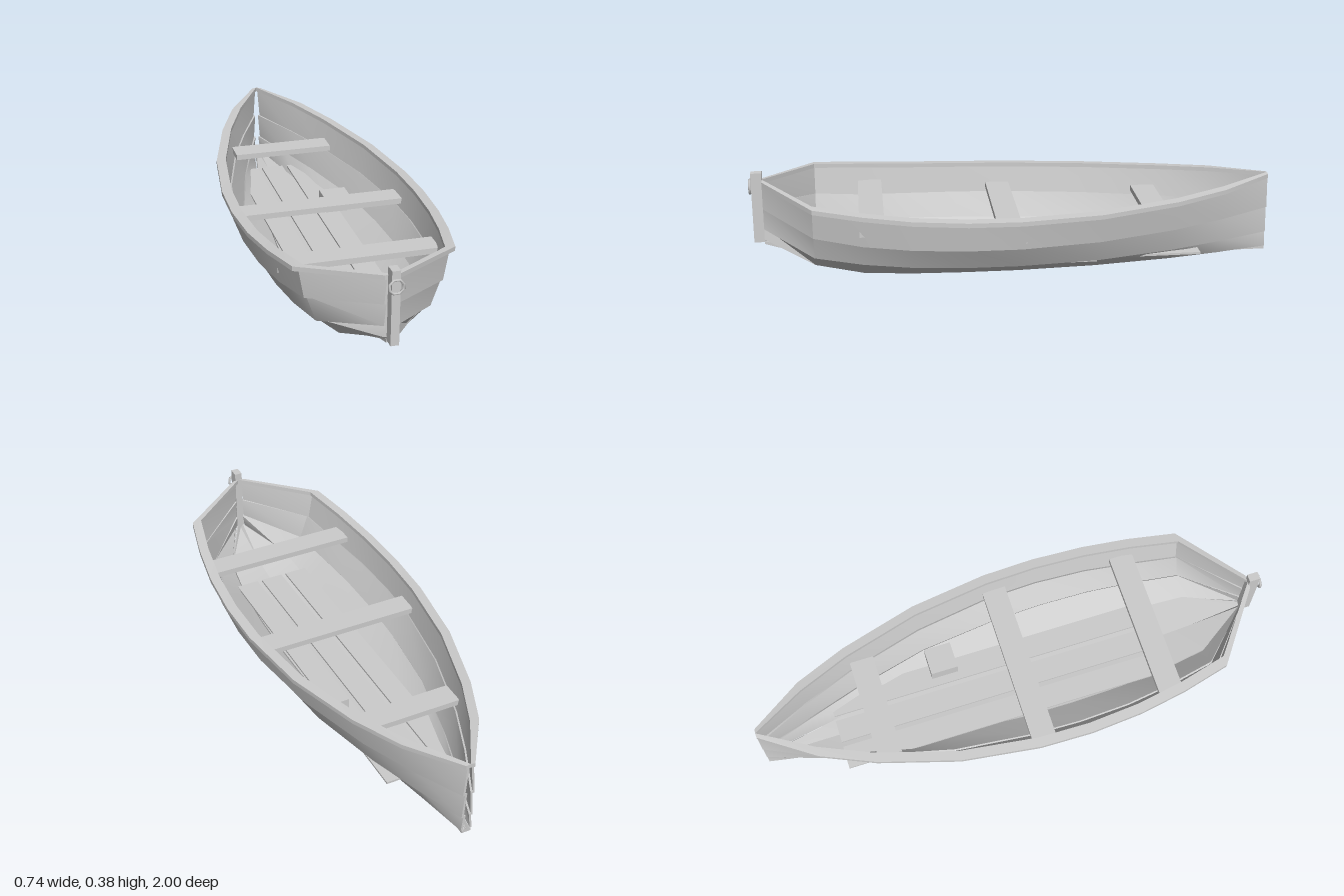
import * as THREE from 'three';
import { toCreasedNormals } from 'three/addons/utils/BufferGeometryUtils.js';

// Hull lines at each station along z; each line runs from stern to bow
const Z = [-1, -0.8, -0.6, -0.3, 0, 0.2, 0.4, 0.58, 0.76, 0.95];
const LINES = [
  { x: [0, 0, 0, 0, 0, 0, 0, 0, 0, 0],
    y: [0.012, 0.012, 0.013, 0.014, 0.015, 0.016, 0.018, 0.026, 0.056, 0.115] },
  { x: [0.006, 0.045, 0.085, 0.13, 0.152, 0.155, 0.15, 0.14, 0.12, 0.01],
    y: [0.02, 0.02, 0.021, 0.023, 0.025, 0.027, 0.029, 0.036, 0.068, 0.13] },
  { x: [0.006, 0.075, 0.14, 0.215, 0.248, 0.255, 0.248, 0.226, 0.193, 0.01],
    y: [0.08, 0.077, 0.076, 0.077, 0.08, 0.084, 0.091, 0.102, 0.122, 0.172] },
  { x: [0.006, 0.1, 0.18, 0.265, 0.31, 0.316, 0.303, 0.273, 0.233, 0.01],
    y: [0.182, 0.176, 0.171, 0.167, 0.168, 0.171, 0.177, 0.188, 0.213, 0.252] },
  { x: [0.004, 0.125, 0.21, 0.297, 0.338, 0.343, 0.33, 0.302, 0.26, 0.01],
    y: [0.308, 0.296, 0.285, 0.277, 0.277, 0.281, 0.29, 0.305, 0.324, 0.35] },
];
const THICK = 0.008;

// Closed solid through rings of [x, y] corners, counter-clockwise seen from the bow
function loft(rings) {
  const n = rings[0].length, pos = [], idx = [];
  rings.forEach((ring, i) => ring.forEach(([x, y]) => pos.push(x, y, Z[i])));
  for (let i = 0; i < rings.length - 1; i++) {
    for (let j = 0; j < n; j++) {
      const a = i * n + j, b = i * n + (j + 1) % n;
      idx.push(a, b, b + n, a, b + n, a + n);
    }
  }
  const end = (rings.length - 1) * n;
  for (let j = 1; j < n - 1; j++) {
    idx.push(0, j + 1, j, end, end + j, end + j + 1);
  }
  const geo = new THREE.BufferGeometry();
  geo.setAttribute('position', new THREE.Float32BufferAttribute(pos, 3));
  geo.setIndex(idx);
  return toCreasedNormals(geo, 0.6);
}

const mirrorRing = ring => ring.map(([x, y]) => [-x, y]).reverse();

// Plank between two hull lines, its lower edge lapping over the plank below
function strakeRings(low, high, lap) {
  return Z.map((_, i) => {
    let lx = low.x[i], ly = low.y[i];
    const hx = high.x[i], hy = high.y[i];
    const len = Math.hypot(hx - lx, hy - ly);
    const dx = (hx - lx) / len, dy = (hy - ly) / len;
    if (lap) { lx -= dx * 0.006; ly -= dy * 0.006; }
    const at = (x, y, d) => [Math.max(0, x + dy * d), y - dx * d];
    return [at(lx, ly, lap), at(lx, ly, lap + THICK), at(hx, hy, THICK), at(hx, hy, 0)];
  });
}

export function createModel() {
  const boat = new THREE.Group();
  boat.name = 'rowingBoat';
  const wood = new THREE.MeshStandardMaterial({ color: 0xcccccc });
  wood.name = 'paleGrey';

  const add = (name, geo, x = 0, y = 0, z = 0) => {
    const mesh = new THREE.Mesh(geo, wood);
    mesh.name = name;
    mesh.position.set(x, y, z);
    boat.add(mesh);
    return mesh;
  };
  const addPair = (name, rings) => {
    add('left' + name, loft(rings));
    add('right' + name, loft(rings.map(mirrorRing)));
  };

  // Overlapping hull planks
  ['BottomPlank', 'LowerStrake', 'MiddleStrake', 'UpperStrake'].forEach((name, i) =>
    addPair(name, strakeRings(LINES[i], LINES[i + 1], i ? THICK : 0)));

  // Rim along the top of the hull, sloping slightly outward
  const sheer = LINES[4];
  addPair('Gunwale', Z.map((_, i) => {
    const x = sheer.x[i], y = sheer.y[i];
    const inner = Math.max(0, x - 0.01);
    const outer = x + (i === 0 ? 0.013 : i === Z.length - 1 ? 0.016 : 0.027);
    return [[inner, y - 0.01], [outer, y - 0.014], [outer, y + 0.003], [inner, y + 0.006]];
  }));

  // Keel strip under the centre line
  add('keel', loft(Z.map((_, i) => {
    const y = LINES[0].y[i];
    return [[-0.018, y - 0.012], [0.018, y - 0.012], [0.018, y], [-0.018, y]];
  })));

  // Stem post and mooring ring at the bow
  add('stemPost', new THREE.BoxGeometry(0.03, 0.275, 0.042), 0, 0.2475, 0.969);
  add('mooringRing', new THREE.TorusGeometry(0.026, 0.005, 6, 8), 0, 0.33, 0.995)
    .rotation.z = Math.PI / 8;

  // Seats: half width, height, position along the boat
  [['rearSeat', 0.2, 0.2, -0.545], ['middleSeat', 0.327, 0.193, 0.03], ['frontSeat', 0.296, 0.23, 0.545]]
    .forEach(([name, half, y, z]) =>
      add(name, new THREE.BoxGeometry(half * 2, 0.022, 0.093), 0, y, z));

  // Floorboards
  [-0.11, 0, 0.11].forEach((x, i) =>
    add(['right', 'centre', 'left'][i] + 'Floorboard',
      new THREE.BoxGeometry(0.09, 0.008, 1.335), x, 0.047, -0.042));

  // Small box on the floor
  add('storageBox', new THREE.BoxGeometry(0.107, 0.055, 0.107), 0.151, 0.078, -0.245);

  return boat;
}
